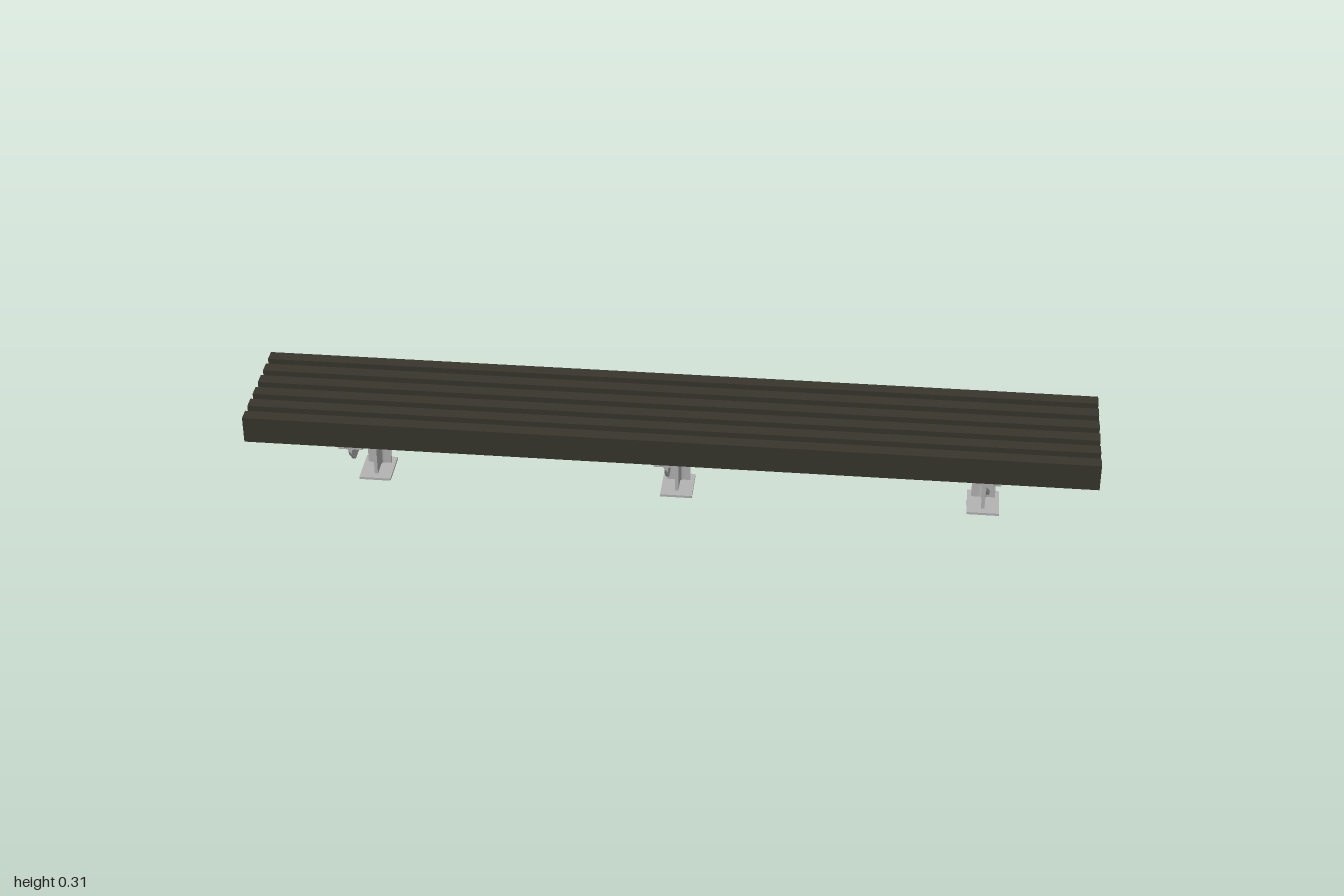
import * as THREE from 'three';
import { toCreasedNormals } from 'three/addons/utils/BufferGeometryUtils.js';

const wood = new THREE.MeshStandardMaterial({ name: 'darkWood', color: 0x38362c });
const steel = new THREE.MeshStandardMaterial({ name: 'galvanisedSteel', color: 0xb4b4b4 });

const BACK = -0.138, FRONT = 0.162;
const CHAMFER = 0.018; // depth below the arm top where the nose starts to slope

// T-section: flange along y = 0, web hanging down, filleted where they meet
function teeShape(depth) {
  const w = 0.029, t = 0.005, h = 0.004, r = 0.007;
  const s = new THREE.Shape();
  s.moveTo(-w, 0);
  s.lineTo(-w, -t);
  s.lineTo(-h - r, -t);
  s.quadraticCurveTo(-h, -t, -h, -t - r);
  s.lineTo(-h, -CHAMFER);
  s.lineTo(-h, -depth);
  s.lineTo(h, -depth);
  s.lineTo(h, -CHAMFER);
  s.lineTo(h, -t - r);
  s.quadraticCurveTo(h, -t, h + r, -t);
  s.lineTo(w, -t);
  s.lineTo(w, 0);
  return s;
}

function teeBar(depth, length) {
  return new THREE.ExtrudeGeometry(teeShape(depth), { depth: length, bevelEnabled: false, curveSegments: 6 });
}

function mesh(name, geometry, material, x = 0, y = 0, z = 0) {
  const m = new THREE.Mesh(geometry, material);
  m.name = name;
  m.position.set(x, y, z);
  return m;
}

export function createModel() {
  const bench = new THREE.Group();
  bench.name = 'slattedBench';

  // Six long seat slats
  const slat = new THREE.BoxGeometry(2, 0.066, 0.032);
  for (let i = 0; i < 6; i++) {
    bench.add(mesh('seatSlat' + (i + 1), slat, wood, 0, 0.275, 0.146 - i * 0.0536));
  }

  // Arm: T-bar running forward, its web cut back at the nose
  const length = FRONT - BACK;
  const armRaw = teeBar(0.052, length);
  const p = armRaw.attributes.position;
  for (let i = 0; i < p.count; i++) {
    const below = -p.getY(i) - CHAMFER;
    if (p.getZ(i) > length / 2 && below > 0) p.setZ(i, p.getZ(i) - below * 0.96);
  }
  const arm = toCreasedNormals(armRaw, 0.6);

  // Post: T-bar standing upright, flange at the back
  const post = toCreasedNormals(teeBar(0.055, 0.232).rotateX(-Math.PI / 2), 0.6);
  const plate = new THREE.BoxGeometry(0.078, 0.006, 0.098);

  // Three cantilever supports
  [-0.747, 0, 0.747].forEach((x, i) => {
    const support = new THREE.Group();
    support.name = 'support' + (i + 1);
    support.position.x = x;
    support.add(
      mesh('basePlate', plate, steel, 0, 0.003, -0.112),
      mesh('post', post, steel, 0, 0.006, BACK),
      mesh('arm', arm, steel, 0, 0.242, BACK)
    );
    bench.add(support);
  });
  return bench;
}
